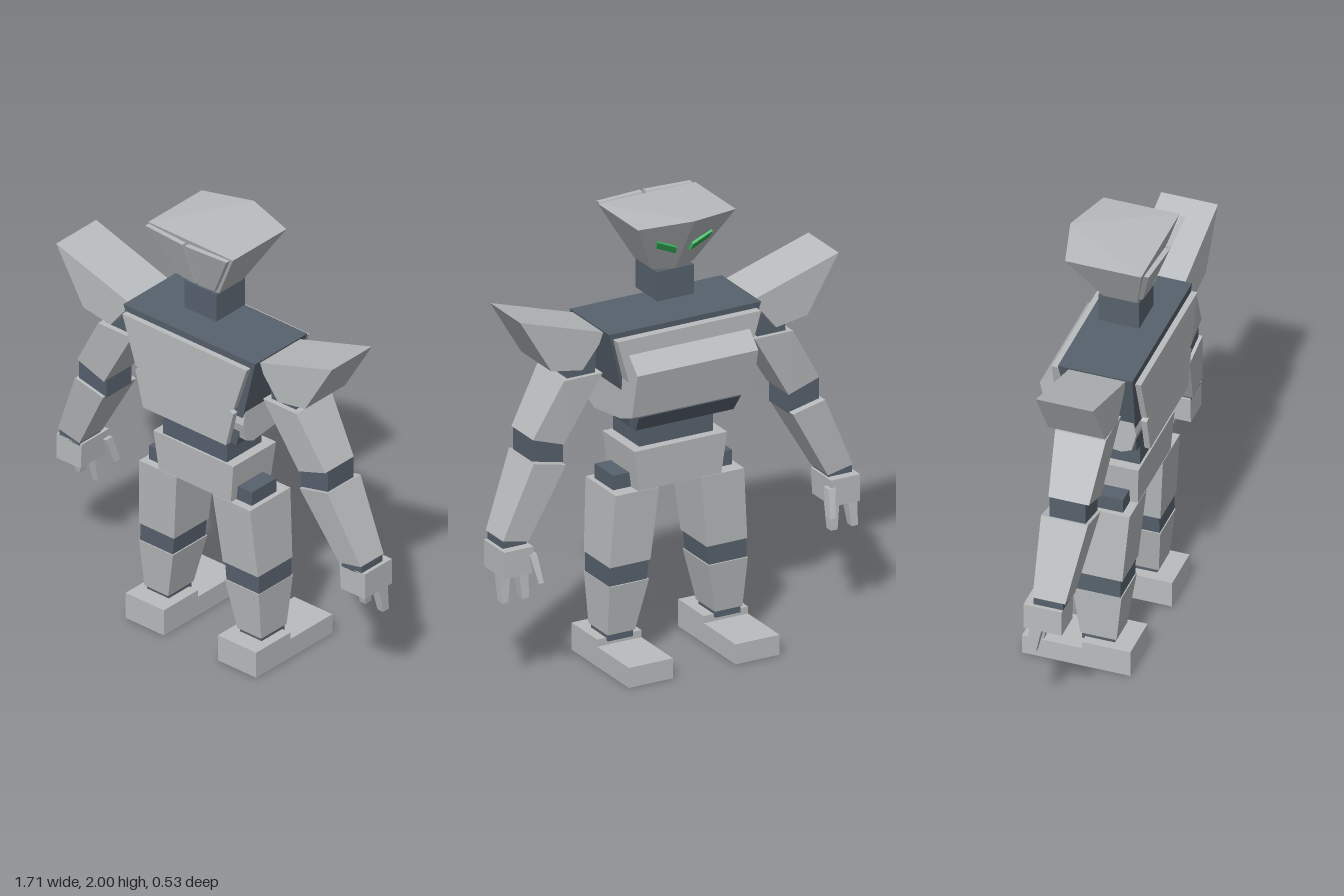
import * as THREE from 'three';
import { ConvexGeometry } from 'three/addons/geometries/ConvexGeometry.js';

const material = (name, color) => Object.assign(new THREE.MeshStandardMaterial({ color }), { name });

export function createModel() {
  const armor = material('light grey armour', 0xb9bcbe);
  const joint = material('dark slate joints', 0x57626d);
  const glow = material('green eyes', 0x36b35c);
  const model = new THREE.Group();
  model.name = 'robot';

  // Faceted solid spanned by corner points
  const solid = (name, mat, pts, parent = model) => {
    const mesh = new THREE.Mesh(new ConvexGeometry(pts.map(p => new THREE.Vector3(...p))), mat);
    mesh.name = name;
    parent.add(mesh);
    return mesh;
  };
  // Corners of a rectangle [x0, x1, z0, z1] at height y
  const rect = (y, [x0, x1, z0, z1]) => [[x0, y, z0], [x1, y, z0], [x1, y, z1], [x0, y, z1]];
  // Tapered block between two rectangles
  const block = (y0, r0, y1, r1 = r0) => [...rect(y0, r0), ...rect(y1, r1)];
  // Front outline of [x, y] points, with a depth range for each point
  const slab = rows => rows.flatMap(([x, y, z0, z1]) => [[x, y, z0], [x, y, z1]]);
  // Side outline of [z, y] points, spanning the width
  const across = (rows, w) => rows.flatMap(([z, y]) => [[-w, y, z], [w, y, z]]);

  // Torso
  solid('torso', joint, block(1.08, [-0.24, 0.24, -0.06, 0.2], 1.535, [-0.365, 0.365, -0.105, 0.225]));
  solid('torsoBase', joint, block(1.075, [-0.235, 0.235, -0.1, 0.19], 1.15, [-0.245, 0.245, -0.145, 0.2]));
  solid('chestArmour', armor, across([[0.2, 1.27], [0.215, 1.2], [0.195, 1.12], [0.15, 1.1], [-0.07, 1.13],
    [-0.165, 1.165], [-0.212, 1.37], [-0.135, 1.445], [0.18, 1.3]], 0.29));
  solid('upperChestPlate', armor, block(1.3, [-0.285, 0.285, -0.14, -0.08], 1.51, [-0.345, 0.345, -0.14, -0.08]));

  // Back plate with small notches in both sides
  const half = [[0.345, 1.51], [0.272, 1.29], [0.248, 1.278], [0.272, 1.268], [0.23, 1.1]];
  const outline = [...half, ...half.map(([x, y]) => [-x, y]).reverse()];
  const plateGeo = new THREE.ExtrudeGeometry(
    new THREE.Shape(outline.map(p => new THREE.Vector2(...p))), { depth: 0.026, bevelEnabled: false });
  plateGeo.translate(0, 0, 0.23);
  const plate = new THREE.Mesh(plateGeo, armor);
  plate.name = 'backPlate';
  model.add(plate);

  // Waist, pelvis and neck
  solid('waist', joint, block(0.95, [-0.177, 0.177, -0.03, 0.19], 1.1));
  solid('pelvis', armor, block(0.78, [-0.2, 0.2, -0.06, 0.19], 0.965, [-0.222, 0.222, -0.07, 0.2]));
  solid('neck', joint, block(1.6, [-0.088, 0.088, -0.025, 0.155], 1.732));

  // Wedge-shaped head
  solid('head', armor, [
    [-0.235, 1.985, 0.217], [0.235, 1.985, 0.217], [0.235, 1.985, -0.12], [-0.235, 1.985, -0.12], [0, 2, -0.182],
    [-0.1, 1.74, 0.15], [0.1, 1.74, 0.15], [0.1, 1.74, 0], [-0.1, 1.74, 0], [0, 1.73, -0.02]]);

  // Eye facet directions for the +x side
  const origin = new THREE.Vector3(0.1, 1.74, 0);
  const bottomInner = new THREE.Vector3(0, 1.73, -0.02);
  const topInner = new THREE.Vector3(0, 2, -0.182);
  const up = topInner.clone().sub(bottomInner).normalize();
  const normal = origin.clone().sub(bottomInner).cross(up).normalize();
  if (normal.z > 0) normal.negate();
  const outward = new THREE.Vector3(1, 0, 0).addScaledVector(normal, -normal.x).normalize();
  const rise = new THREE.Vector3(0, 1, 0).addScaledVector(normal, -normal.y).normalize();
  const eyeBase = bottomInner.clone().addScaledVector(up, 0.155).addScaledVector(outward, 0.083);
  const eyePoint = (u, v, d) => eyeBase.clone().addScaledVector(outward, u)
    .addScaledVector(rise, v + u * 0.4).addScaledVector(normal, d).toArray();
  const eye = [-0.045, 0.045].flatMap(u => [-0.019, 0.019].flatMap(v => [-0.012, 0.014].map(d => eyePoint(u, v, d))));

  // Everything that comes in pairs
  for (const [side, s] of [['left', 1], ['right', -1]]) {
    const group = new THREE.Group();
    group.name = side + 'Side';
    model.add(group);
    const add = (name, mat, pts) =>
      solid(side + name, mat, pts.map(([x, y, z]) => [x * s, y, z]), group);

    // Head details
    add('Eye', glow, eye);
    add('HeadBackPlate', armor, slab([[0.008, 1.985, 0.238, 0.262], [0.225, 1.985, 0.225, 0.247],
      [0.092, 1.757, 0.152, 0.172], [0.008, 1.757, 0.155, 0.178]]));

    // Shoulder
    add('ShoulderArmour', armor, slab([[0.366, 1.53], [0.765, 1.655], [0.615, 1.405], [0.465, 1.38], [0.385, 1.48]]
      .map(([x, y]) => [x, y, -0.057, 0.195])));
    add('ShoulderJoint', joint, block(1.335, [0.39, 0.525, -0.03, 0.15], 1.445, [0.385, 0.52, -0.03, 0.15]));

    // Arm
    add('UpperArm', armor, slab([[0.365, 1.345, -0.05, 0.175], [0.55, 1.345, -0.05, 0.175],
      [0.688, 1.1, -0.03, 0.15], [0.54, 1.05, -0.03, 0.15]]));
    add('Elbow', joint, slab([[0.69, 1.1], [0.54, 1.06], [0.54, 0.965], [0.69, 0.985]]
      .map(([x, y]) => [x, y, -0.025, 0.135])));
    add('Forearm', armor, slab([[0.7, 1.005, -0.058, 0.15], [0.545, 0.97, -0.058, 0.15],
      [0.72, 0.655, -0.045, 0.1], [0.84, 0.68, -0.045, 0.1]]));
    add('Wrist', joint, block(0.635, [0.725, 0.838, -0.04, 0.09], 0.675));

    // Hand
    add('Hand', armor, block(0.525, [0.722, 0.855, -0.08, 0.09], 0.645, [0.715, 0.855, -0.08, 0.09]));
    add('OuterFinger', armor, block(0.41, [0.825, 0.855, -0.062, -0.025], 0.53, [0.81, 0.855, -0.055, 0]));
    add('InnerFinger', armor, block(0.41, [0.725, 0.757, -0.062, -0.025], 0.53, [0.725, 0.77, -0.055, 0]));
    add('Thumb', armor, block(0.49, [0.688, 0.712, -0.122, -0.085], 0.61, [0.7, 0.735, -0.085, -0.045]));

    // Leg
    add('Hip', joint, block(0.75, [0.19, 0.285, 0.0, 0.155], 0.845));
    add('Thigh', armor, block(0.455, [0.135, 0.33, -0.05, 0.168], 0.78, [0.1, 0.308, -0.062, 0.192]));
    add('Knee', joint, block(0.36, [0.15, 0.33, -0.045, 0.16], 0.465, [0.14, 0.328, -0.045, 0.16]));
    add('Shin', armor, block(0.14, [0.192, 0.324, -0.02, 0.14], 0.37, [0.143, 0.332, -0.052, 0.165]));
    add('Ankle', joint, block(0.11, [0.198, 0.318, -0.015, 0.13], 0.142));

    // Foot
    add('Heel', armor, block(0, [0.15, 0.362, 0, 0.215], 0.122));
    add('Toe', armor, block(0, [0.15, 0.362, -0.265, 0], 0.09));
  }
  return model;
}
